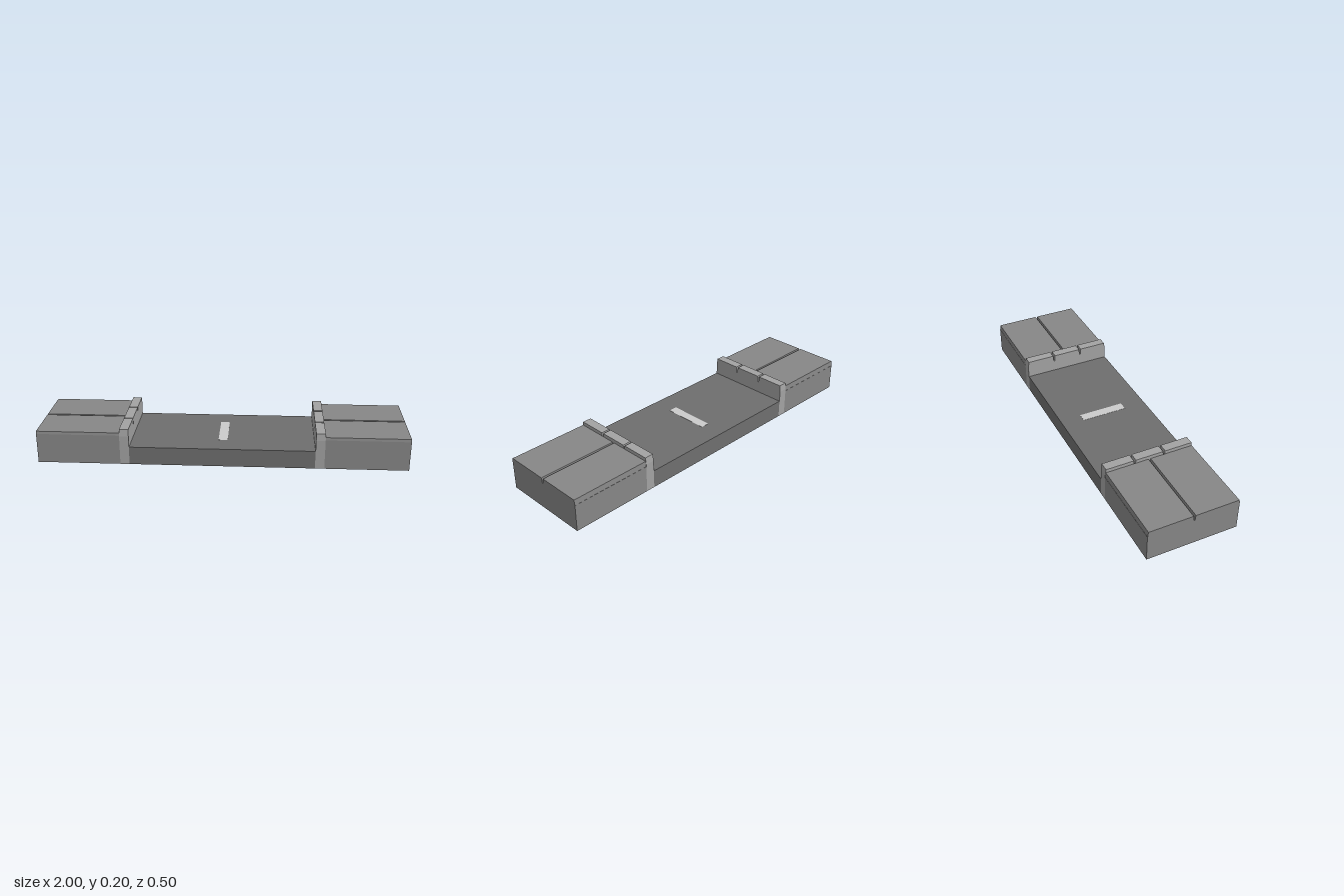
import * as THREE from 'three';

const material = (color) => new THREE.MeshStandardMaterial({ color, flatShading: true });

// Extrudes a [z, y] cross-section along x, centred on x
function slab(name, profile, x, length, mat) {
  const shape = new THREE.Shape(profile.map(([z, y]) => new THREE.Vector2(-z, y)));
  const geometry = new THREE.ExtrudeGeometry(shape, { depth: length, bevelEnabled: false });
  geometry.rotateY(Math.PI / 2).translate(x - length / 2, 0, 0);
  const mesh = new THREE.Mesh(geometry, mat);
  mesh.name = name;
  return mesh;
}

// Tapered joint cut into a top surface
const joint = (z, top, bottom) => [
  [z + 0.006, top], [z + 0.003, bottom], [z - 0.003, bottom], [z - 0.006, top],
];

export function createModel() {
  const group = new THREE.Group();
  group.name = 'roadSection';
  const asphalt = material(0x6e6e6e);
  const paving = material(0x868686);
  const kerbstone = material(0xa2a2a2);
  const paint = material(0xcccccc);

  // Sunken roadway
  const road = new THREE.Mesh(new THREE.BoxGeometry(1, 0.1, 0.5), asphalt);
  road.name = 'roadway';
  road.position.y = 0.05;
  group.add(road);

  // Centre line dash
  const dash = new THREE.Mesh(new THREE.BoxGeometry(0.05, 0.004, 0.255), paint);
  dash.name = 'centreLineDash';
  dash.position.set(0, 0.099, -0.002);
  group.add(dash);

  // Pavement: one joint in the middle, half a joint along the back edge
  const pavementProfile = [
    [0.25, 0], [0.25, 0.165], [0.247, 0.18],
    ...joint(0, 0.18, 0.15),
    [-0.246, 0.18], [-0.249, 0.15], [-0.25, 0.15], [-0.25, 0],
  ];

  // Kerb: three stones with sloped ends
  const kerbProfile = [
    [0.25, 0], [0.25, 0.162], [0.245, 0.2],
    ...joint(0.084, 0.2, 0.165),
    ...joint(-0.084, 0.2, 0.165),
    [-0.245, 0.2], [-0.25, 0.162], [-0.25, 0],
  ];

  for (const [side, label] of [[1, 'left'], [-1, 'right']]) {
    group.add(slab(label + 'Kerb', kerbProfile, side * 0.525, 0.05, kerbstone));
    group.add(slab(label + 'Pavement', pavementProfile, side * 0.775, 0.45, paving));
  }
  return group;
}
